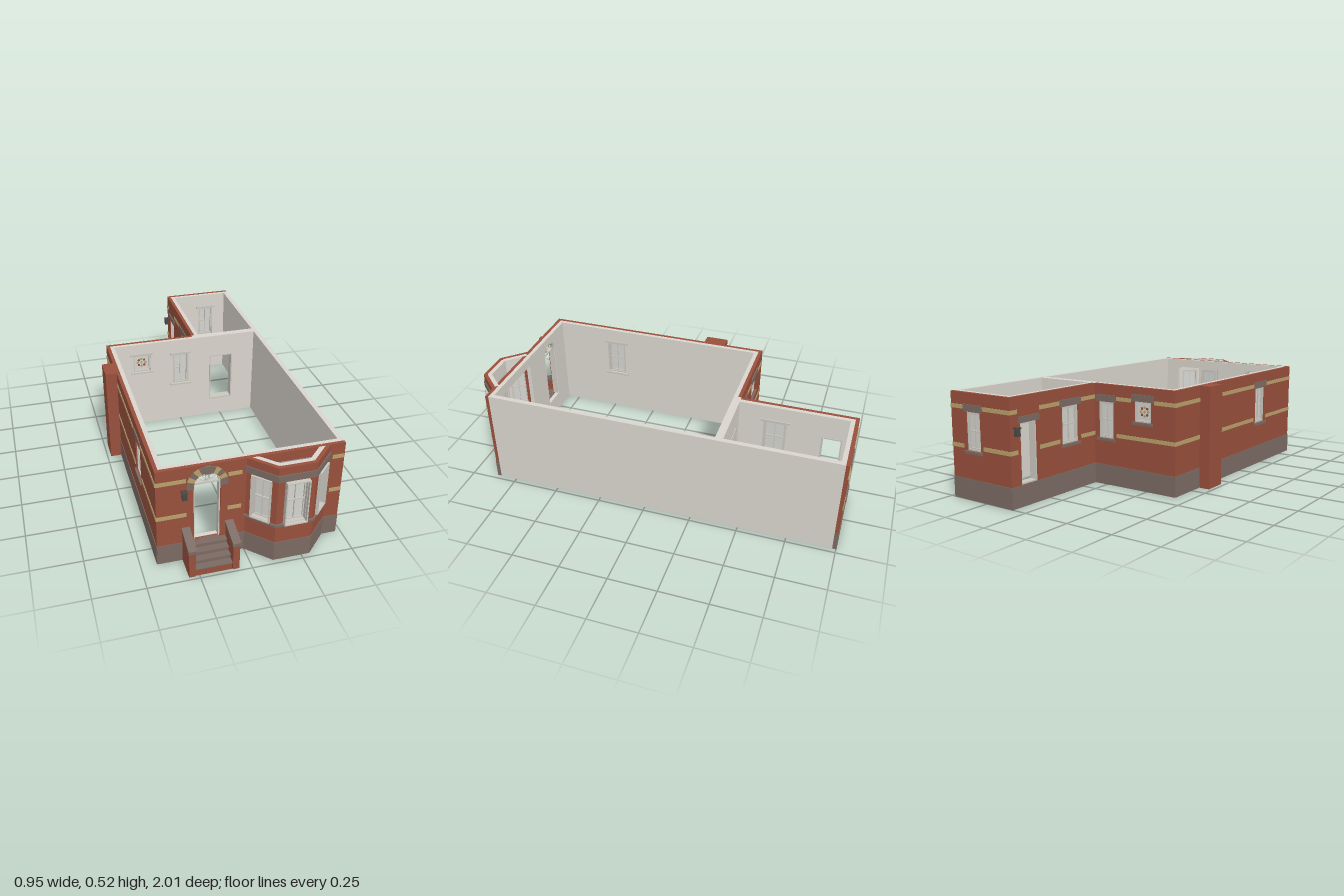
import * as THREE from 'three';

const mat = (name, color, side = THREE.FrontSide) => {
  const m = new THREE.MeshStandardMaterial({ color, side });
  m.name = name;
  return m;
};
const brick = mat('brick', 0x984f3c);
const plaster = mat('plaster', 0xd9d5cd);
const stone = mat('stone', 0x7b6a62);
const tan = mat('tanBrick', 0xb9a06c);
const trim = mat('trim', 0xc9c6be);
const glass = mat('glass', 0xd2d2ce, THREE.DoubleSide);
const dark = mat('darkMetal', 0x4c4745);

const H = 0.525, BASE = 0.105, BRICK = 0.018, THICK = 0.04;

// Box given by its minimum and maximum corners
function box(parent, name, m, x0, x1, y0, y1, z0, z1) {
  const b = new THREE.Mesh(new THREE.BoxGeometry(x1 - x0, y1 - y0, z1 - z0), m);
  b.position.set((x0 + x1) / 2, (y0 + y1) / 2, (z0 + z1) / 2);
  b.name = name;
  parent.add(b);
  return b;
}

function rectPath(P, x0, x1, y0, y1) {
  const p = new P();
  p.moveTo(x0, y0); p.lineTo(x1, y0); p.lineTo(x1, y1); p.lineTo(x0, y1); p.closePath();
  return p;
}

function extrude(parent, name, m, shape, z0, z1) {
  const mesh = new THREE.Mesh(
    new THREE.ExtrudeGeometry(shape, { depth: z1 - z0, bevelEnabled: false, curveSegments: 16 }), m);
  mesh.position.z = z0;
  mesh.name = name;
  parent.add(mesh);
  return mesh;
}

// Upright layer of wall pierced by openings
function layer(parent, name, m, x0, x1, y0, z0, z1, holes) {
  const s = rectPath(THREE.Shape, x0, x1, y0, H);
  for (const h of holes) {
    if (h.arch) {
      const r = (h.x1 - h.x0) / 2, p = new THREE.Path();
      p.moveTo(h.x0, h.y0); p.lineTo(h.x1, h.y0); p.lineTo(h.x1, h.y1);
      p.absarc(h.x0 + r, h.y1, r, 0, Math.PI, false);
      p.closePath();
      s.holes.push(p);
    } else s.holes.push(rectPath(THREE.Path, h.x0, h.x1, h.y0, h.y1));
  }
  extrude(parent, name, m, s, z0, z1);
}

// Wall from a to b; local x runs along it and local z points outward
function wall(root, name, a, b, holes, inset = [BRICK, BRICK], lip = 0) {
  const g = new THREE.Group();
  const dx = b[0] - a[0], dz = b[1] - a[1], L = Math.hypot(dx, dz);
  g.name = name;
  g.position.set(a[0], 0, a[1]);
  g.rotation.y = Math.atan2(-dz, dx);
  root.add(g);
  layer(g, 'brickFace', brick, 0, L, 0.1, -BRICK, 0, holes);
  layer(g, 'plasterLining', plaster, inset[0], L - inset[1], 0, -THICK, -BRICK, holes);
  box(g, 'plinth', stone, -lip, L + lip, 0, BASE, -BRICK, 0.003);
  return { g, L };
}

// Two tan courses broken around the blocked stretches
function bands({ g, L }, blocks, margin = 0.02) {
  for (const y of [0.255, 0.445]) {
    let x = 0;
    const put = (x1) => { if (x1 - x > 0.01) box(g, 'tanCourse', tan, x, x1, y, y + 0.02, -0.002, 0.003); };
    for (const k of blocks) {
      if (k.y0 > y + 0.02) continue;
      put(k.x0 - margin);
      x = k.x1 + margin;
    }
    put(L);
  }
}

// Rectangular casing ring
function casing(g, name, m, o, w, z0, z1) {
  const s = rectPath(THREE.Shape, o.x0, o.x1, o.y0, o.y1);
  s.holes.push(rectPath(THREE.Path, o.x0 + w, o.x1 - w, o.y0 + w, o.y1 - w));
  extrude(g, name, m, s, z0, z1);
}

// Sash window with optional stone head and sill
function sash(parent, o, { zf = -0.006, dressed = true, bars = true } = {}) {
  const g = new THREE.Group();
  g.name = 'window';
  parent.add(g);
  const cx = (o.x0 + o.x1) / 2, cy = (o.y0 + o.y1) / 2;
  casing(g, 'windowFrame', trim, o, 0.008, -THICK + 0.004, zf);
  box(g, 'windowPane', glass, o.x0 + 0.006, o.x1 - 0.006, o.y0 + 0.006, o.y1 - 0.006, -0.022, -0.018);
  if (bars) {
    casing(g, 'lowerSash', trim, { x0: o.x0 + 0.008, x1: o.x1 - 0.008, y0: o.y0 + 0.008, y1: cy + 0.004 }, 0.006, -0.028, -0.012);
    casing(g, 'upperSash', trim, { x0: o.x0 + 0.008, x1: o.x1 - 0.008, y0: cy - 0.003, y1: o.y1 - 0.008 }, 0.006, -0.026, -0.009);
    box(g, 'glazingBar', trim, cx - 0.002, cx + 0.002, o.y0 + 0.01, o.y1 - 0.01, -0.025, -0.011);
  }
  if (dressed) {
    box(g, 'lintel', stone, o.x0 - 0.015, o.x1 + 0.015, o.y1, o.y1 + 0.035, -0.01, 0.006);
    box(g, 'sill', stone, o.x0 - 0.012, o.x1 + 0.012, o.y0 - 0.014, o.y0, -0.012, 0.009);
    box(g, 'innerHead', trim, o.x0 - 0.015, o.x1 + 0.015, o.y1, o.y1 + 0.012, -THICK - 0.006, -THICK);
    box(g, 'innerSill', trim, o.x0 - 0.015, o.x1 + 0.015, o.y0 - 0.01, o.y0, -THICK - 0.008, -THICK);
  }
}

function lantern(g, x, y) {
  box(g, 'lanternBody', dark, x - 0.011, x + 0.011, y - 0.02, y + 0.015, 0.006, 0.026);
  box(g, 'lanternCap', dark, x - 0.014, x + 0.014, y + 0.015, y + 0.021, 0, 0.029);
}

// Arched entrance: fanlight, door frame and alternating arch stones
function entrance(g, o) {
  const r = (o.x1 - o.x0) / 2, cx = o.x0 + r, ys = o.y1;
  const wedge = (r0, r1, t0, t1) => {
    const s = new THREE.Shape();
    s.absarc(cx, ys, r1, t0, t1, false);
    s.absarc(cx, ys, r0, t1, t0, true);
    s.closePath();
    return s;
  };
  extrude(g, 'archFrame', trim, wedge(r - 0.006, r, 0, Math.PI), -0.035, -0.006);
  for (const x of [o.x0, o.x1 - 0.006]) box(g, 'doorJamb', trim, x, x + 0.006, o.y0, ys, -0.035, -0.006);
  box(g, 'transom', trim, o.x0, o.x1, ys - 0.004, ys + 0.004, -0.03, -0.01);
  for (let i = 1; i < 6; i++) {
    const t = i * Math.PI / 6;
    const bar = box(g, 'fanlightBar', trim, -r / 2, r / 2, -0.0012, 0.0012, -0.003, 0.003);
    bar.position.set(cx + Math.cos(t) * r / 2, ys + Math.sin(t) * r / 2, -0.02);
    bar.rotation.z = t;
  }
  for (let i = 0; i < 11; i++) {
    const d = Math.PI / 11;
    extrude(g, 'archStone', i % 2 ? tan : stone, wedge(r, r + 0.034, i * d, (i + 1) * d), -0.004, 0.006);
  }
  box(g, 'keystone', stone, cx - 0.014, cx + 0.014, ys + r - 0.002, ys + r + 0.037, -0.004, 0.012);
  for (const x of [o.x0 - 0.034, o.x1]) box(g, 'archSpringer', stone, x, x + 0.034, ys - 0.015, ys, -0.004, 0.006);
}

export function createModel() {
  const root = new THREE.Group();
  root.name = 'rowHouseStorey';

  // Front wall with entrance and opening into the bay
  const door = { x0: 0.175, x1: 0.3, y0: BASE, y1: 0.42, arch: true };
  const bayGap = { x0: 0.48, x1: 0.785, y0: 0.11, y1: 0.475 };
  const front = wall(root, 'frontWall', [-0.42, 0.86], [0.475, 0.86], [door, bayGap], [BRICK, 0.025]);
  bands(front, [{ x0: 0.16, x1: 0.315, y0: 0 }, { x0: 0.42, x1: 0.815, y0: 0 }]);
  entrance(front.g, door);
  lantern(front.g, 0.128, 0.385);

  // Plain party wall and the partition to the rear wing
  box(root, 'partyWall', plaster, 0.45, 0.475, 0, H, -0.982, 0.842);
  const part = new THREE.Group();
  part.name = 'partition';
  part.position.z = -0.36;
  root.add(part);
  const inner = { x0: 0.18, x1: 0.32, y0: BASE, y1: 0.4 };
  layer(part, 'partitionWall', plaster, 0.08, 0.45, 0, -0.04, 0, [inner]);
  casing(part, 'partitionDoorFrame', trim, inner, 0.007, -0.044, 0.004);

  // Rear and side walls with their openings
  const win = (c, w = 0.095, y0 = 0.245, y1 = 0.435) => ({ x0: c - w / 2, x1: c + w / 2, y0, y1 });
  const wb = win(0.15);
  const wingBack = wall(root, 'wingBackWall', [0.475, -1], [0.08, -1], [wb], [0.025, BRICK]);
  sash(wingBack.g, wb);
  bands(wingBack, [wb]);

  const rearDoor = { x0: 0.065, x1: 0.17, y0: BASE, y1: 0.4 };
  const ws = win(0.41, 0.12);
  const wingSide = wall(root, 'wingSideWall', [0.08, -1], [0.08, -0.4], [rearDoor, ws], [BRICK, 0]);
  sash(wingSide.g, ws);
  casing(wingSide.g, 'rearDoorFrame', trim, rearDoor, 0.007, -0.043, -0.004);
  box(wingSide.g, 'rearDoorLintel', stone, 0.05, 0.185, 0.4, 0.43, -0.01, 0.006);
  lantern(wingSide.g, 0.03, 0.365);
  bands(wingSide, [rearDoor, ws]);

  const w1 = win(0.075), w2 = win(0.305, 0.1, 0.35, 0.455);
  const back = wall(root, 'mainBackWall', [0.08, -0.4], [-0.42, -0.4], [w1, w2], [0, BRICK]);
  sash(back.g, w1);
  sash(back.g, w2, { bars: false });
  bands(back, [w1, w2]);
  // Stained flower in the square window
  for (let i = 0; i < 9; i++) {
    const t = i * Math.PI / 4, d = i === 8 ? 0 : 0.022;
    const p = new THREE.Mesh(new THREE.CylinderGeometry(0.007, 0.007, 0.008, 10), i % 2 ? brick : tan);
    p.rotation.x = Math.PI / 2;
    p.position.set(0.305 + d * Math.cos(t), 0.4025 + d * Math.sin(t), -0.02);
    p.name = 'stainedPetal';
    back.g.add(p);
  }

  const wl = win(0.875, 0.11, 0.24, 0.44);
  const left = wall(root, 'sideWall', [-0.42, -0.4], [-0.42, 0.86], [wl]);
  sash(left.g, wl);
  bands(left, [wl]);
  box(root, 'chimney', brick, -0.48, -0.42, 0, H, -0.18, -0.06);

  // Three-sided bay window
  const plan = [[0, 0.86], [0.11, 0.972], [0.29, 0.972], [0.4, 0.86]];
  for (let i = 0; i < 3; i++) {
    const len = Math.hypot(plan[i + 1][0] - plan[i][0], plan[i + 1][1] - plan[i][1]);
    const o = win(len / 2, i === 1 ? 0.112 : 0.1, 0.213, 0.45);
    const { g, L } = wall(root, 'bayWall', plan[i], plan[i + 1], [o], [0.012, 0.012], 0.001);
    sash(g, o, { zf: 0.008, dressed: false });
    casing(g, 'baySurround', trim, o, 0.006, 0, i === 1 ? 0.026 : 0.014);
    box(g, 'baySill', stone, -0.004, L + 0.004, 0.2, 0.212, -0.01, 0.01);
    box(g, 'bayHead', stone, -0.002, L + 0.002, 0.45, 0.485, -0.01, 0.005);
  }

  // Front steps between sloping cheek walls
  const stoop = new THREE.Group();
  stoop.name = 'frontSteps';
  root.add(stoop);
  for (let i = 0; i < 4; i++) {
    const y = 0.042 + i * 0.021, z = 0.985 - i * 0.031;
    box(stoop, 'riser', i ? stone : brick, -0.27, -0.095, 0, y - 0.006, 0.86, z - 0.004);
    box(stoop, 'tread', stone, -0.272, -0.093, y - 0.006, y, 0.86, z);
  }
  const side = (name, m, x, w, pts) => {
    const s = new THREE.Shape(pts.map(([z, y]) => new THREE.Vector2(-z, y)));
    const mesh = extrude(stoop, name, m, s, 0, w);
    mesh.position.set(x, 0, 0);
    mesh.rotation.y = Math.PI / 2;
  };
  for (const x of [-0.3, -0.092]) {
    side('cheekWall', brick, x, 0.032, [[0.86, 0], [0.985, 0], [0.985, 0.14], [0.86, 0.175]]);
    side('cheekCap', stone, x - 0.004, 0.04, [[0.86, 0.172], [0.99, 0.138], [0.99, 0.156], [0.86, 0.192]]);
  }
  return root;
}
